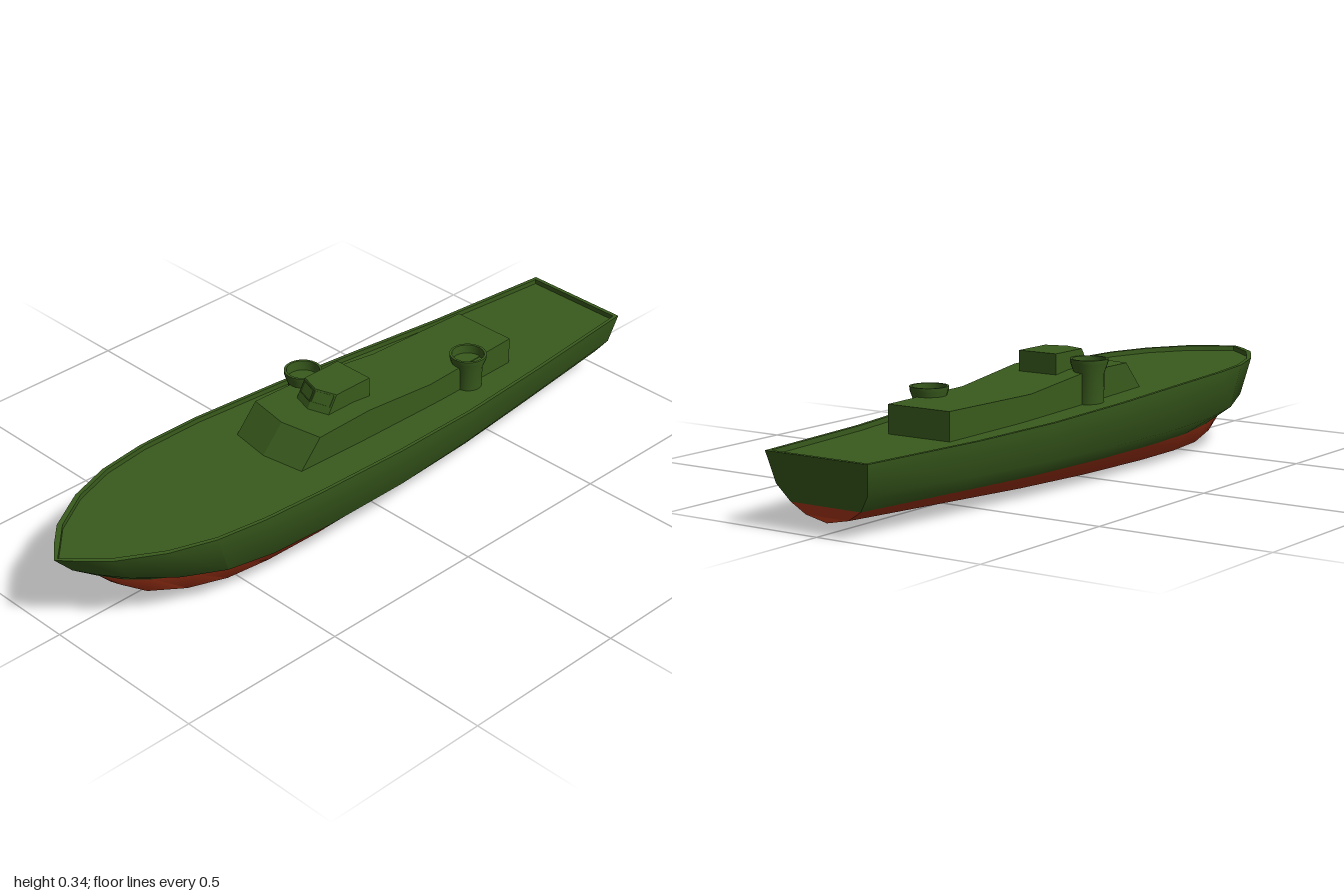
import * as THREE from 'three';
import { toCreasedNormals } from 'three/addons/utils/BufferGeometryUtils.js';

const V = (x, y, z) => new THREE.Vector3(x, y, z);
const mat = (name, color) => Object.assign(new THREE.MeshStandardMaterial({ color }), { name });

function geo(points, index, crease = 0.01) {
  const g = new THREE.BufferGeometry().setFromPoints(points);
  g.setIndex(index);
  return toCreasedNormals(g, crease);
}

// skin over a grid of points: rows[i][j]
function skin(rows, crease) {
  const n = rows[0].length, index = [];
  for (let i = 0; i < rows.length - 1; i++) {
    for (let j = 0; j < n - 1; j++) {
      const a = i * n + j, b = a + n;
      index.push(a, b, a + 1, b, b + 1, a + 1);
    }
  }
  return geo(rows.flat(), index, crease);
}

// faceted polygons given as lists of points
function facets(polys) {
  const pts = [], index = [];
  for (const p of polys) {
    for (let k = 1; k < p.length - 1; k++) index.push(pts.length, pts.length + k, pts.length + k + 1);
    pts.push(...p);
  }
  return geo(pts, index);
}

// block with a V-shaped front; sections run from aft to front
// section: [zTop, zBottom, halfWidth, yTop, yBottom, point]
function block(sections) {
  const rows = sections.map(([zt, zb, w, yt, yb, v = 0]) => [
    V(w, yt, zt), V(w, yb, zb), V(0, yb, zb + v), V(-w, yb, zb), V(-w, yt, zt), V(0, yt, zt + v), V(w, yt, zt)]);
  const [a, f] = [rows[0], rows.at(-1)];
  return [skin(rows, 0.01), facets([
    [f[0], f[5], f[2], f[1]], [f[4], f[3], f[2], f[5]],
    [a[1], a[2], a[5], a[0]], [a[5], a[2], a[3], a[4]]])];
}

export function createModel() {
  const model = new THREE.Group();
  const green = mat('olive green', 0x395b1d);
  const red = mat('bottom red', 0xaa3618);
  const add = (name, material, ...geos) => {
    const g = new THREE.Group();
    g.name = name;
    for (const x of geos) {
      const m = new THREE.Mesh(x, material);
      m.name = name;
      g.add(m);
    }
    model.add(g);
  };

  // hull lines, stern to bow: half widths and heights of each long edge
  const stations = [-1, -0.6, -0.3, 0, 0.3, 0.5, 0.65, 0.78, 0.9, 0.96, 1];
  const lines = {
    rim: { z: [-1, 1], x: [.163, .2, .229, .247, .254, .248, .228, .184, .112, .05, 0],
      y: [.2, .2, .207, .22, .234, .239, .24, .24, .239, .237, .235] },
    knuckle: { z: [-.98, .945], x: [.146, .185, .214, .235, .241, .237, .218, .176, .112, .053, 0],
      y: [.115, .107, .103, .102, .105, .11, .12, .138, .16, .17, .176] },
    water: { z: [-.965, .86], x: [.112, .152, .18, .192, .192, .188, .172, .145, .104, .058, 0],
      y: [.07, .067, .065, .064, .064, .067, .074, .092, .112, .115, .115] },
    bilge: { z: [-.96, .86], x: [.068, .105, .13, .145, .152, .15, .138, .112, .08, .042, 0],
      y: [.042, .032, .024, .018, .015, .015, .018, .032, .062, .09, .115] },
    keel: { z: [-.96, .86], x: stations.map(() => 0),
      y: [.028, .02, .012, .007, .003, 0, 0, .013, .046, .078, .115] },
  };
  const at = (name, i, s = 1) => {
    const l = lines[name];
    return V(s * l.x[i], l.y[i], THREE.MathUtils.lerp(l.z[0], l.z[1], (stations[i] + 1) / 2));
  };
  const across = stations.map((_, i) => [
    at('rim', i), at('knuckle', i), at('water', i), at('bilge', i), at('keel', i),
    at('bilge', i, -1), at('water', i, -1), at('knuckle', i, -1), at('rim', i, -1)]);
  const part = (a, b) => skin(across.map(r => r.slice(a, b)), 0.9);
  add('hullSides', green, part(0, 3), part(6, 9));
  add('hullBottom', red, part(2, 7));

  // flat raked stern
  const s = across[0];
  const sternQuad = j => [s[j], s[j + 1], s[7 - j], s[8 - j]];
  add('transom', green, facets([sternQuad(0), sternQuad(1)]));
  add('transomBottom', red, facets([sternQuad(2), [s[3], s[4], s[5]]]));

  // bulwark rim with the deck sunk inside it
  const rimPoints = (i, side) => {
    const p = at('rim', i, side);
    const x = side * Math.max(0, Math.abs(p.x) - 0.01);
    return [V(x, p.y - 0.014, p.z * 0.988), V(x, p.y, p.z * 0.988), p];
  };
  const left = stations.map((_, i) => rimPoints(i, 1));
  const right = stations.map((_, i) => rimPoints(i, -1));
  add('bulwark', green, skin([...left, ...[...right].reverse(), left[0]], 0.3));
  add('deck', green, skin(left.map((l, i) => [right[i][0], l[0]]), 0.3));

  // long deckhouse and the small bridge on it
  add('deckhouse', green, ...block([
    [-.59, -.59, .1, .265, .17], [-.25, -.25, .114, .265, .18],
    [0, 0, .122, .294, .19], [.19, .265, .127, .295, .212, .022]]));
  add('bridge', green, ...block([
    [-.06, -.06, .062, .345, .28], [.065, .1025, .062, .345, .2825, .02]]));

  // window frames on the two halves of the bridge front
  const outline = pts => pts.map(p => new THREE.Vector2(...p));
  const frame = new THREE.Shape(outline([[.02, .34], [.92, .34], [.92, .92], [.02, .92]]));
  frame.holes.push(new THREE.Path(outline([[.04, .37], [.04, .87], [.89, .87], [.89, .37]])));
  const windows = [1, -1].map(side => {
    // skewed frame axes: u along the face from its left edge, v up the slope
    const u = V(.062, 0, -side * .02), v = V(0, .05, -.03);
    const origin = side > 0 ? V(0, .295, .115) : V(-.062, .295, .095);
    const n = u.clone().cross(v).normalize().multiplyScalar(0.003);
    const g = new THREE.ExtrudeGeometry(frame, { depth: 1, bevelEnabled: false });
    if (side < 0) g.translate(.06, 0, 0);
    g.applyMatrix4(new THREE.Matrix4().makeBasis(u, v, n).setPosition(origin));
    return toCreasedNormals(g, 0.3);
  });
  add('windowFrames', green, ...windows);

  // open gun tubs on columns
  const tub = (x, z, base, top) => {
    const profile = outline([[.041, base], [.042, top - .04], [.052, top - .012], [.053, top],
      [.046, top], [.044, top - .028], [0, top - .028]]);
    const g = toCreasedNormals(new THREE.LatheGeometry(profile, 20), 0.5);
    return g.translate(x, 0, z);
  };
  add('forwardGunTub', green, tub(-.117, .02, .19, .328));
  add('aftGunTub', green, tub(.1, -.415, .17, .29));

  return model;
}
